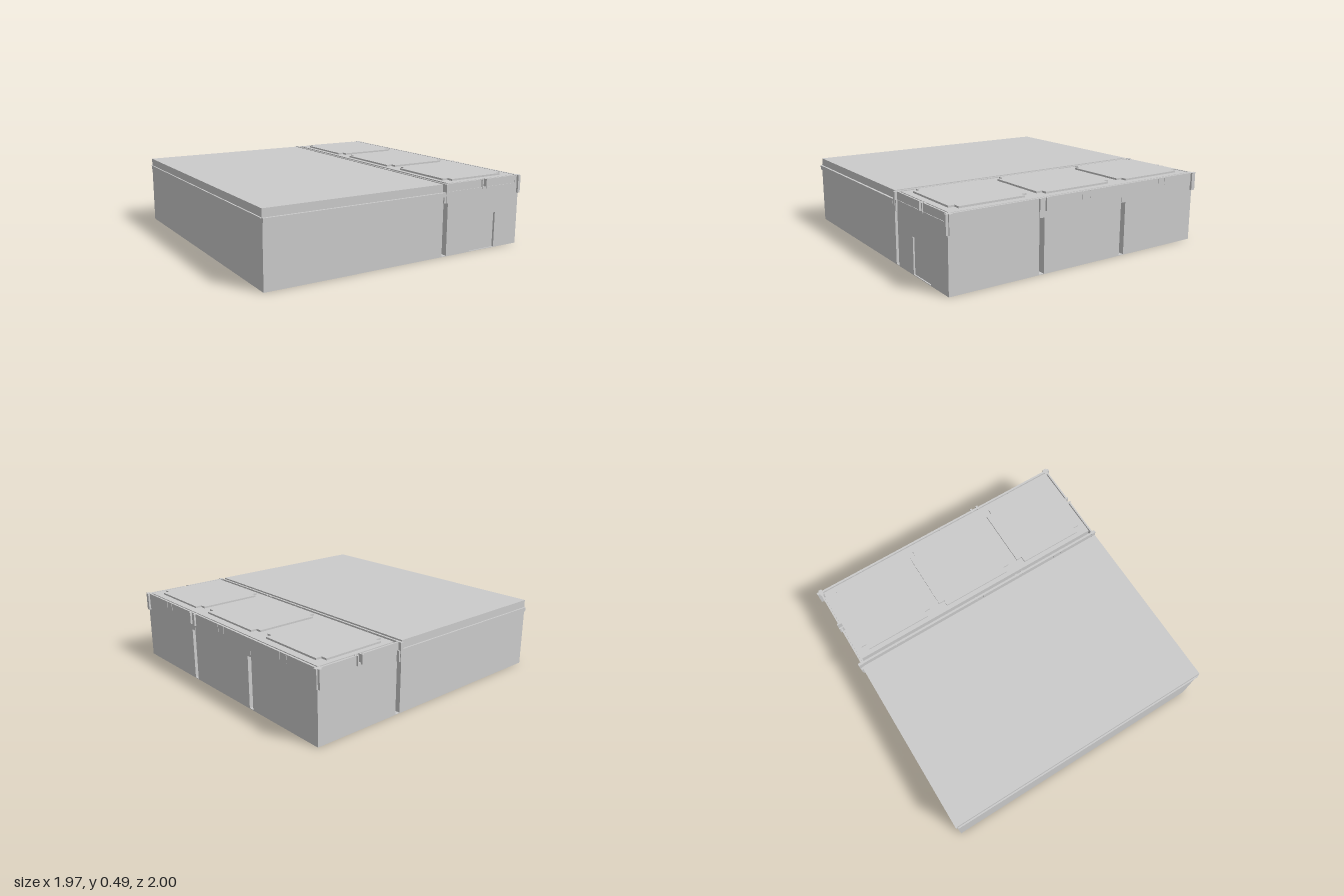
import * as THREE from 'three';

const material = new THREE.MeshStandardMaterial({ color: 0xcccccc, flatShading: true, side: THREE.DoubleSide });

// Box given by its limits along each axis
function block(parent, name, [x0, x1], [y0, y1], [z0, z1]) {
  const mesh = new THREE.Mesh(new THREE.BoxGeometry(x1 - x0, y1 - y0, z1 - z0), material);
  mesh.position.set((x0 + x1) / 2, (y0 + y1) / 2, (z0 + z1) / 2);
  mesh.name = name;
  parent.add(mesh);
  return mesh;
}

function extrude(parent, name, shape, depth) {
  const mesh = new THREE.Mesh(new THREE.ExtrudeGeometry(shape, { depth, bevelEnabled: false }), material);
  mesh.name = name;
  parent.add(mesh);
  return mesh;
}

function polygon(points) {
  return new THREE.Shape(points.map(([x, y]) => new THREE.Vector2(x, y)));
}

// Rectangle with a small square cut from each corner, in x and -z
function notchedPanel(x0, x1, z0, z1, n) {
  return polygon([
    [x0 + n, -z1], [x1 - n, -z1], [x1 - n, -z1 + n], [x1, -z1 + n],
    [x1, -z0 - n], [x1 - n, -z0 - n], [x1 - n, -z0], [x0 + n, -z0],
    [x0 + n, -z0 - n], [x0, -z0 - n], [x0, -z1 + n], [x0 + n, -z1 + n],
  ]);
}

export function createModel() {
  const model = new THREE.Group();
  model.name = 'building';

  // Thin floor under everything, with small openings where the gaps meet
  const floorShape = polygon([[-0.975, -0.983], [0.97, -0.983], [0.97, 0.975], [-0.975, 0.975]]);
  for (const z of [-0.325, 0.335]) {
    floorShape.holes.push(new THREE.Path([
      new THREE.Vector2(0.31, -z - 0.018), new THREE.Vector2(0.343, -z - 0.018),
      new THREE.Vector2(0.343, -z + 0.018), new THREE.Vector2(0.31, -z + 0.018),
    ]));
  }
  extrude(model, 'floor', floorShape, 0.004).rotation.x = -Math.PI / 2;

  // Large hall with flat roof and narrow ledges
  const hall = new THREE.Group();
  hall.name = 'hall';
  model.add(hall);
  block(hall, 'hallBody', [-0.975, 0.308], [0.002, 0.43], [-0.975, 0.983]);
  block(hall, 'hallRoof', [-0.975, 0.303], [0.43, 0.483], [-0.973, 0.978]);
  block(hall, 'hallLedgeLeft', [-0.985, -0.975], [0.428, 0.432], [-0.97, 0.978]);
  block(hall, 'hallLedgeFront', [-0.975, 0.303], [0.4, 0.43], [0.98, 0.994]);
  block(hall, 'hallLedgeBack', [-0.975, 0.32], [0.4, 0.43], [-0.984, -0.972]);

  // Three rooms in a row beside the hall
  const wing = new THREE.Group();
  wing.name = 'wing';
  model.add(wing);
  const frontRoom = polygon([
    [0.345, 0.002], [0.545, 0.002], [0.545, 0.245], [0.765, 0.245],
    [0.765, 0.002], [0.97, 0.002], [0.97, 0.4], [0.345, 0.4],
  ]);
  extrude(wing, 'frontRoomFace', frontRoom, 0.015).position.z = 0.968;
  block(wing, 'frontRoom', [0.345, 0.97], [0.002, 0.4], [0.355, 0.968]);
  block(wing, 'middleRoom', [0.345, 0.97], [0.002, 0.4], [-0.305, 0.317]);
  block(wing, 'backRoom', [0.345, 0.97], [0.002, 0.4], [-0.975, -0.343]);
  block(wing, 'door', [0.548, 0.757], [0.004, 0.242], [0.967, 0.974]);

  // Wing roof: lower flange, slab and surrounding rails
  block(wing, 'roofFlange', [0.335, 0.972], [0.4, 0.43], [-0.978, 0.983]);
  block(wing, 'roofSlab', [0.358, 0.95], [0.43, 0.482], [-0.955, 0.96]);
  for (const x of [0.322, 0.958]) block(wing, 'sideRail', [x, x + 0.014], [0.43, 0.482], [-0.975, 0.975]);
  for (const z of [-0.978, 0.967]) {
    block(wing, 'endRail', [0.335, 0.633], [0.43, 0.482], [z, z + 0.012]);
    block(wing, 'endRail', [0.682, 0.96], [0.43, 0.482], [z, z + 0.012]);
  }

  // Raised roof panels with notched corners
  for (const [z0, z1] of [[-0.92, -0.365], [-0.29, 0.297], [0.37, 0.914]]) {
    const panel = extrude(wing, 'roofPanel', notchedPanel(0.39, 0.9, z0, z1, 0.042), 0.013);
    panel.rotation.x = -Math.PI / 2;
    panel.position.y = 0.481;
  }

  // Crossed corner brackets hanging below the roof edge
  for (const z of [-0.97, 0.968]) {
    const out = Math.sign(z);
    const reach = out < 0 ? [-1, -0.965] : [0.965, 0.997];
    for (const x of [0.33, 0.965]) {
      block(wing, 'cornerBracketPlate', [x - 0.01, x + 0.01], [0.36, 0.482], reach);
    }
    block(wing, 'cornerBracketArm', [0.94, 0.985], [0.36, 0.482], [z - 0.013, z + 0.013]);
    block(wing, 'gapBracket', [0.305, 0.35], [0.36, 0.43], [Math.min(z, z + out * 0.025), Math.max(z, z + out * 0.025)]);
    // Clips in the middle of the end rails
    for (const x of [0.636, 0.672]) block(wing, 'endClip', [x, x + 0.01], [0.42, 0.482], [z - 0.018, z + 0.018]);
  }

  // Brackets above the gaps between the rooms
  for (const z of [-0.324, 0.336]) {
    block(wing, 'roomBracket', [0.955, 0.972], [0.36, 0.43], [z - 0.019, z + 0.019]);
    block(wing, 'innerRoomBracket', [0.325, 0.345], [0.36, 0.43], [z - 0.019, z + 0.019]);
  }
  for (const x of [0.32, 0.955]) {
    for (const dz of [-0.025, 0.025]) {
      block(wing, 'railClip', [x, x + (x > 0.5 ? 0.03 : 0.022)], [0.4, 0.482], [0.33 + dz - 0.008, 0.33 + dz + 0.008]);
    }
    // Small ribs in pairs along both side rails
    for (const z of [-0.67, -0.01, 0.655]) {
      for (const dz of [-0.031, 0.031]) {
        block(wing, 'railRib', [x, x + 0.02], [0.43, 0.478], [z + dz - 0.004, z + dz + 0.004]);
      }
    }
  }
  return model;
}
